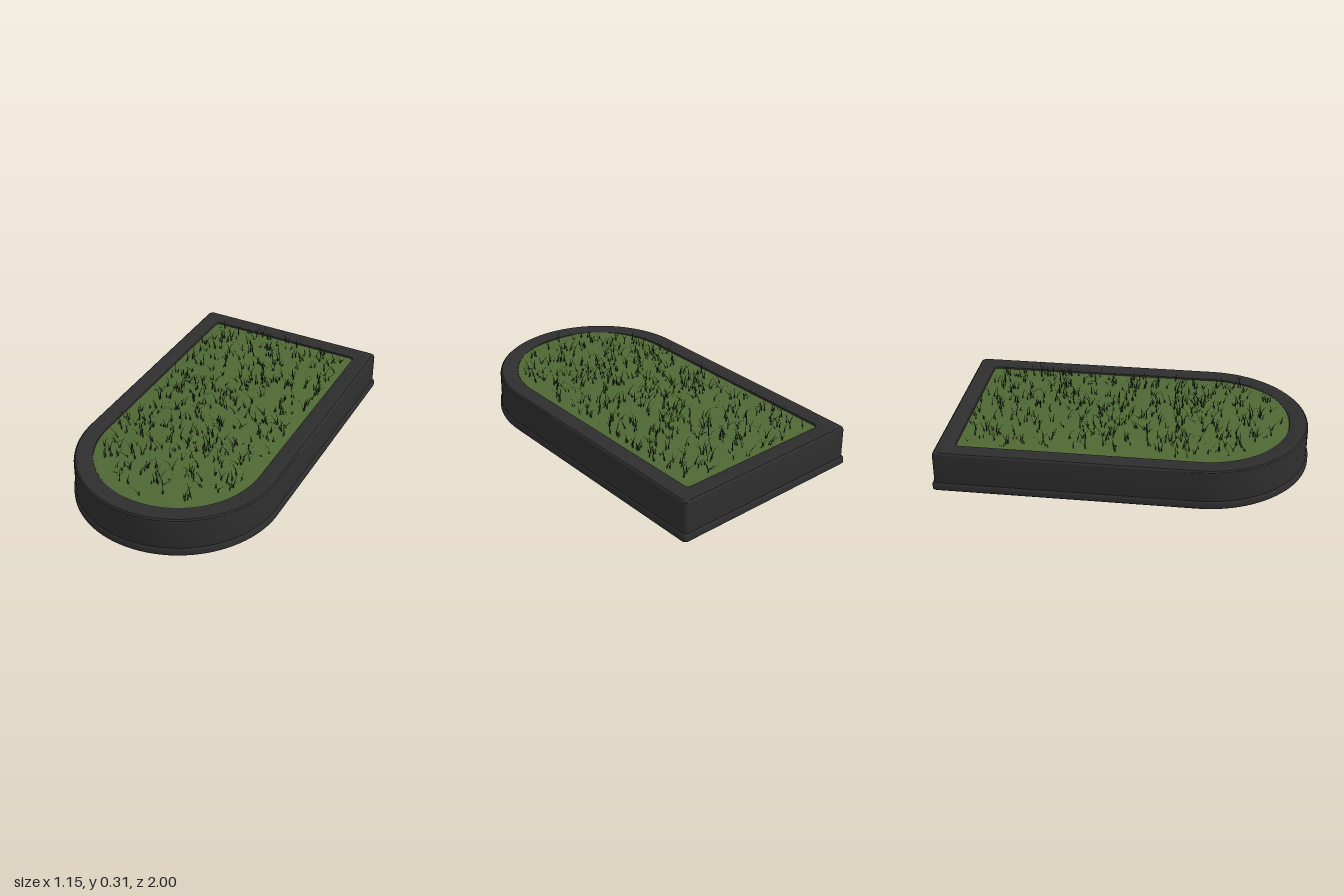
import * as THREE from 'three';
import { mergeVertices, toCreasedNormals } from 'three/addons/utils/BufferGeometryUtils.js';

const HALF = 0.577, ARC_Z = 0.423, BACK = -1, CORNER = 0.022;

// Arch-shaped outline (round front, square back), moved inward by d; points are [x, z]
function outline(d) {
  const pts = [], r = HALF - d, back = BACK + d;
  for (let i = 0; i <= 48; i++) {
    const a = (i / 48) * Math.PI;
    pts.push([r * Math.cos(a), ARC_Z + r * Math.sin(a)]);
  }
  for (const side of [-1, 1]) {
    for (let i = 0; i <= 5; i++) {
      const a = Math.PI + (i / 5 + (side > 0 ? 1 : 0)) * Math.PI / 2;
      pts.push([side * (r - CORNER) + CORNER * Math.cos(a), back + CORNER + CORNER * Math.sin(a)]);
    }
  }
  return pts;
}

// Surface through closed rings of equal length, each point [x, y, z]
function loft(rings, closed) {
  const n = rings[0].length, m = rings.length, index = [];
  for (let j = 0; j < (closed ? m : m - 1); j++) {
    for (let i = 0; i < n; i++) {
      const k = (i + 1) % n, up = (j + 1) % m;
      const a = j * n + i, b = up * n + i, c = j * n + k, e = up * n + k;
      index.push(a, b, c, b, e, c);
    }
  }
  const g = new THREE.BufferGeometry();
  g.setAttribute('position', new THREE.Float32BufferAttribute(rings.flat(2), 3));
  g.setIndex(index);
  return g;
}

// Gentle mound of the lawn
const lawnHeight = (x, z) =>
  0.212 + 0.03 * Math.max(0, 1 - (x / 0.465) ** 2) * Math.sqrt(Math.max(0, 1 - (z / 0.89) ** 2));

function seeded(seed) {
  return () => {
    seed = (seed * 1664525 + 1013904223) % 4294967296;
    return seed / 4294967296;
  };
}

// Bent, tapering blades in small tufts
function bladesGeometry(count, seed) {
  const rnd = seeded(seed), pos = [], index = [];
  let x0 = 0, z0 = 0, made = 0;
  while (made < count) {
    if (made % 2 === 0) {
      x0 = (rnd() * 2 - 1) * 0.43;
      z0 = -0.86 + rnd() * 1.7;
      if (z0 > ARC_Z && Math.hypot(x0, z0 - ARC_Z) > 0.42) continue;
    }
    const x = x0 + (rnd() - 0.5) * 0.02, z = z0 + (rnd() - 0.5) * 0.02;
    const a = rnd() * Math.PI * 2, h = 0.035 + rnd() * 0.042, lean = 0.012 + rnd() * 0.035;
    const y = lawnHeight(x, z) - 0.003, w = 0.0022 + rnd() * 0.001;
    const dx = Math.cos(a), dz = Math.sin(a), base = pos.length / 3;
    for (let s = 0; s <= 3; s++) {
      const t = s / 3, out = lean * t * t, half = w * (1 - 0.85 * t * t);
      const py = y + h * (t - 0.12 * t * t);
      for (const side of [-1, 1]) {
        pos.push(x + dx * out - dz * half * side, py, z + dz * out + dx * half * side);
      }
      if (s < 3) {
        const q = base + s * 2;
        index.push(q, q + 1, q + 2, q + 1, q + 3, q + 2);
      }
    }
    made++;
  }
  const g = new THREE.BufferGeometry();
  g.setAttribute('position', new THREE.Float32BufferAttribute(pos, 3));
  g.setIndex(index);
  g.computeVertexNormals();
  return g;
}

export function createModel() {
  const model = new THREE.Group();
  model.name = 'grassPlanter';

  const stone = new THREE.MeshStandardMaterial({ name: 'dark stone', color: 0x2e2e2e });
  const turf = new THREE.MeshStandardMaterial({ name: 'turf green', color: 0x4f6834, side: THREE.DoubleSide });
  const blade = new THREE.MeshStandardMaterial({ name: 'blade green', color: 0x22331a, side: THREE.DoubleSide });

  const add = (name, geometry, material) => {
    const mesh = new THREE.Mesh(geometry, material);
    mesh.name = name;
    model.add(mesh);
  };

  // Kerb cross-section: [inward offset, height], with a plinth lip at the foot
  const profile = [
    [0.115, 0], [0.005, 0], [0, 0.005], [0, 0.032], [0.003, 0.039], [0.009, 0.044],
    [0.010, 0.205], [0.013, 0.217], [0.021, 0.224],
    [0.106, 0.224], [0.112, 0.221], [0.115, 0.213],
  ];
  const kerbRings = profile.map(([d, y]) => outline(d).map(([x, z]) => [x, y, z]));
  add('kerb', toCreasedNormals(loft(kerbRings, true), 0.6), stone);

  // Lawn sheet, from the rim inward to the middle
  const lawnRings = [];
  for (let j = 0; j <= 12; j++) {
    const k = Math.max(1 - j / 12, 0.001);
    lawnRings.push(outline(0.113).map(([x, z]) => [x * k, lawnHeight(x * k, z * k), z * k]));
  }
  const lawn = mergeVertices(loft(lawnRings, false), 1e-5);
  lawn.computeVertexNormals();
  add('lawn', lawn, turf);

  add('grassBlades', bladesGeometry(900, 7), blade);

  return model;
}
